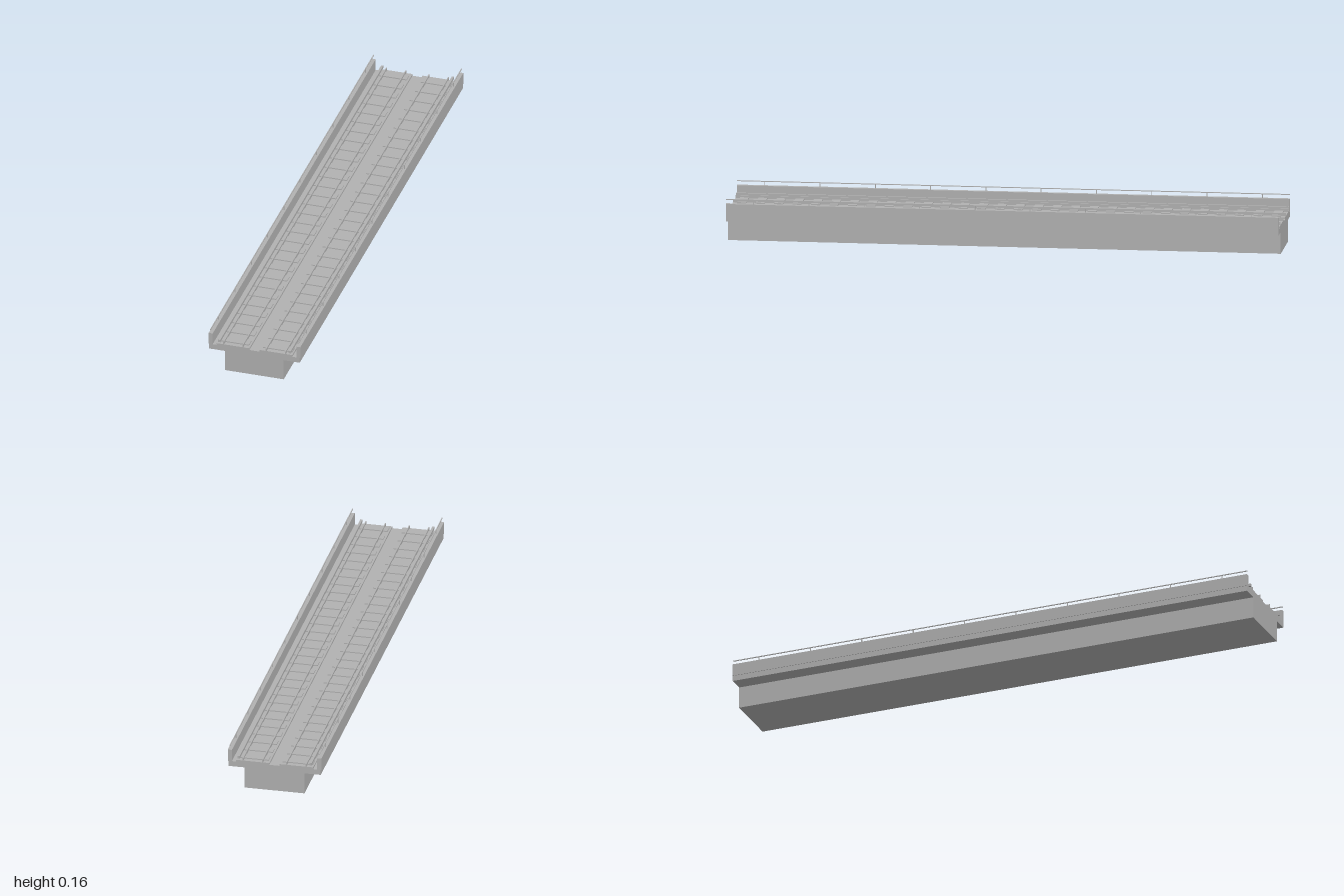
import * as THREE from 'three';

export function createModel() {
  const model = new THREE.Group();
  model.name = 'railwayViaduct';
  const concrete = new THREE.MeshStandardMaterial({ color: 0xb2b2b2 });
  concrete.name = 'concrete grey';

  // Box given by its x, y and z ranges
  function block(name, x0, x1, y0, y1, z0 = -1, z1 = 1, parent = model) {
    const geometry = new THREE.BoxGeometry(Math.abs(x1 - x0), y1 - y0, z1 - z0);
    const mesh = new THREE.Mesh(geometry, concrete);
    mesh.position.set((x0 + x1) / 2, (y0 + y1) / 2, (z0 + z1) / 2);
    mesh.name = name;
    parent.add(mesh);
    return mesh;
  }

  // Main girder and deck slab
  block('girder', -0.11, 0.11, 0, 0.08);
  block('deckSlab', -0.17, 0.17, 0.08, 0.1);

  const sleeperCount = 30;
  const pitch = 2 / sleeperCount;
  for (const s of [-1, 1]) {
    const side = new THREE.Group();
    side.name = s > 0 ? 'leftTrack' : 'rightTrack';
    model.add(side);
    const part = (name, a, b, y0, y1, z0, z1) =>
      block(name, s * a, s * b, y0, y1, z0, z1, side);

    // Parapet wall with a handrail on posts
    part('parapet', 0.157, 0.172, 0.1, 0.145);
    part('handrail', 0.1635, 0.1665, 0.159, 0.162);
    for (let i = 0; i < 10; i++) {
      const z = -0.9 + i * 0.2;
      part('handrailPost', 0.1635, 0.1665, 0.145, 0.159, z - 0.0015, z + 0.0015);
    }

    // Track bed and running rails
    part('trackBed', 0.019, 0.142, 0.1, 0.107);
    for (const x of [0.044, 0.116]) part('rail', x - 0.0018, x + 0.0018, 0.107, 0.118);

    // Conductor rail cover
    part('conductorRail', 0.1285, 0.1365, 0.113, 0.123);

    // Sleepers, with a stand for the conductor rail on each
    for (let i = 0; i < sleeperCount; i++) {
      const z = -1 + (i + 0.5) * pitch;
      part('sleeper', 0.026, 0.137, 0.107, 0.111, z - 0.016, z + 0.016);
      part('conductorStand', 0.13, 0.135, 0.111, 0.113, z - 0.004, z + 0.004);
    }
  }
  return model;
}
